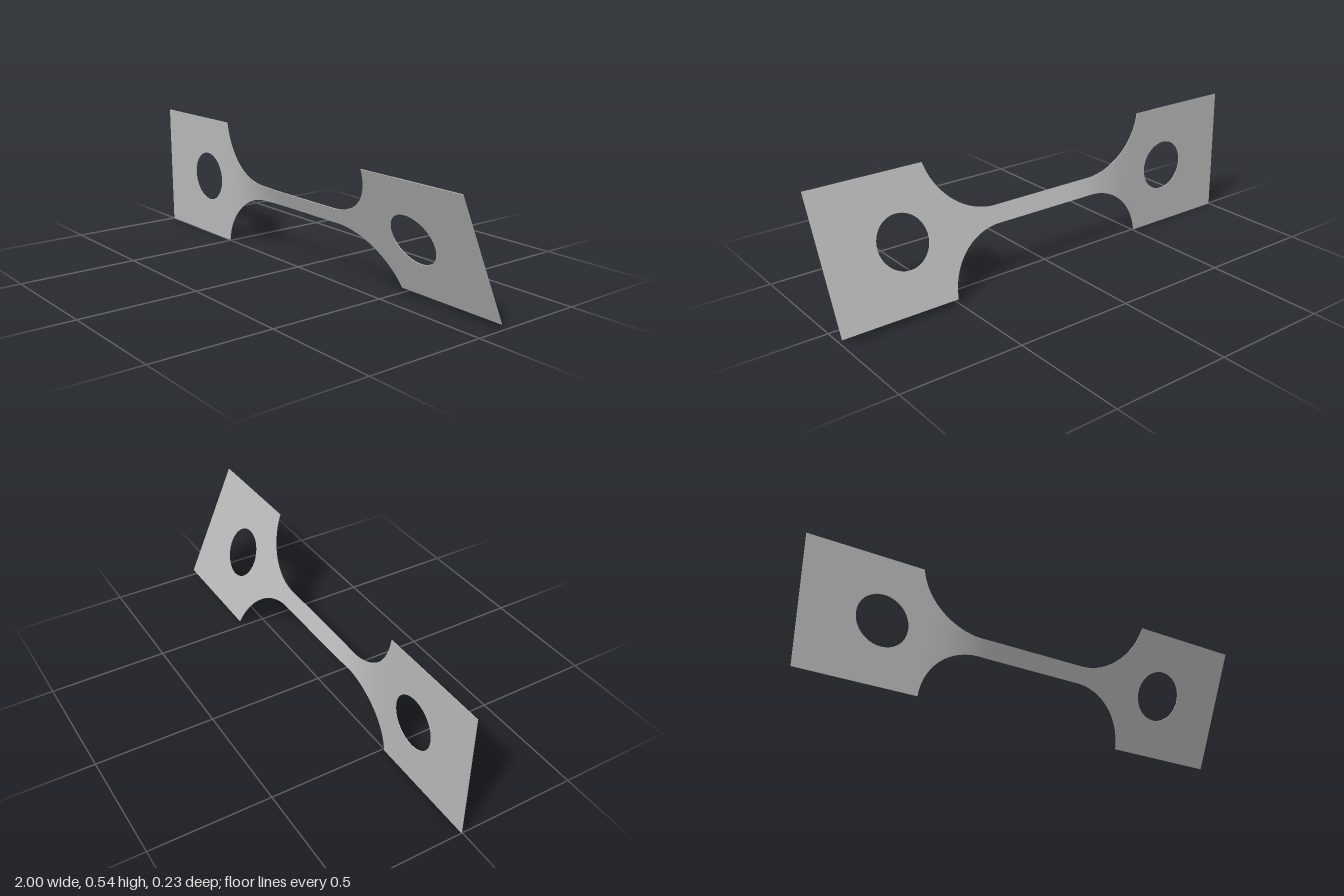
import * as THREE from 'three';

const AXIS_Y = 0.271, HALF = 0.271, THICK = 0.003;
const NECK = 0.037, FILLET_R = 0.27, FILLET_X = 0.24;
const ANGLE_START = 0.01, ANGLE_END = 0.425; // twist at each end, radians

// the twist eases in along the left half of the neck
function twistAt(x) {
  return ANGLE_START + (ANGLE_END - ANGLE_START) * THREE.MathUtils.smoothstep(x, -0.51, -0.08);
}

// [x, half height] stations: fillet, straight neck, mirrored fillet
function stations() {
  const left = [];
  const rise = FILLET_R + NECK - HALF;
  const a0 = Math.acos(rise / FILLET_R);
  for (let i = 0; i <= 32; i++) {
    const a = a0 * (1 - i / 32);
    left.push([-FILLET_X - FILLET_R * Math.sin(a), NECK + FILLET_R * (1 - Math.cos(a))]);
  }
  const middle = [];
  for (let i = 1; i < 24; i++) middle.push([-FILLET_X + 2 * FILLET_X * i / 24, NECK]);
  const right = left.map(([x, h]) => [-x, h]).reverse();
  return [...left, ...middle, ...right];
}

// twisted strip with front, top, back and bottom sides
function neckGeometry(list) {
  const pos = [], index = [];
  const corners = [[-1, 1], [1, 1], [1, -1], [-1, -1]];
  for (let s = 0; s < 4; s++) {
    const base = pos.length / 3;
    list.forEach(([x, h], i) => {
      const c = Math.cos(twistAt(x)), n = Math.sin(twistAt(x));
      for (const [cy, cz] of [corners[s], corners[(s + 1) % 4]]) {
        const y = cy * h, z = cz * THICK / 2;
        pos.push(x, y * c - z * n, y * n + z * c);
      }
      if (i) {
        const b = base + i * 2, a = b - 2;
        index.push(a, b, a + 1, a + 1, b, b + 1);
      }
    });
  }
  const g = new THREE.BufferGeometry();
  g.setAttribute('position', new THREE.Float32BufferAttribute(pos, 3));
  g.setIndex(index);
  g.computeVertexNormals();
  return g;
}

// flat end tab with a round hole
function tabGeometry(inner) {
  const shape = new THREE.Shape();
  shape.moveTo(inner, -HALF);
  shape.lineTo(1, -HALF);
  shape.lineTo(1, HALF);
  shape.lineTo(inner, HALF);
  shape.closePath();
  const hole = new THREE.Path();
  hole.absarc(0.67, 0, 0.109, 0, Math.PI * 2, true);
  shape.holes.push(hole);
  const g = new THREE.ExtrudeGeometry(shape, { depth: THICK, bevelEnabled: false, curveSegments: 48 });
  return g.translate(0, 0, -THICK / 2);
}

export function createModel() {
  const group = new THREE.Group();
  group.name = 'twistedTestStrip';
  const metal = new THREE.MeshStandardMaterial({ color: 0xb8b8b8, side: THREE.DoubleSide });
  metal.name = 'grey metal';

  const list = stations();
  const add = (name, geometry) => {
    const mesh = new THREE.Mesh(geometry, metal);
    mesh.name = name;
    mesh.position.y = AXIS_Y;
    group.add(mesh);
    return mesh;
  };

  add('twistedNeck', neckGeometry(list));
  const inner = list[list.length - 1][0];
  add('leftTab', tabGeometry(inner)).rotation.x = ANGLE_END;
  // half turn about z mirrors the symmetric tab to the other end
  add('rightTab', tabGeometry(inner).rotateZ(Math.PI)).rotation.x = ANGLE_START;
  return group;
}
